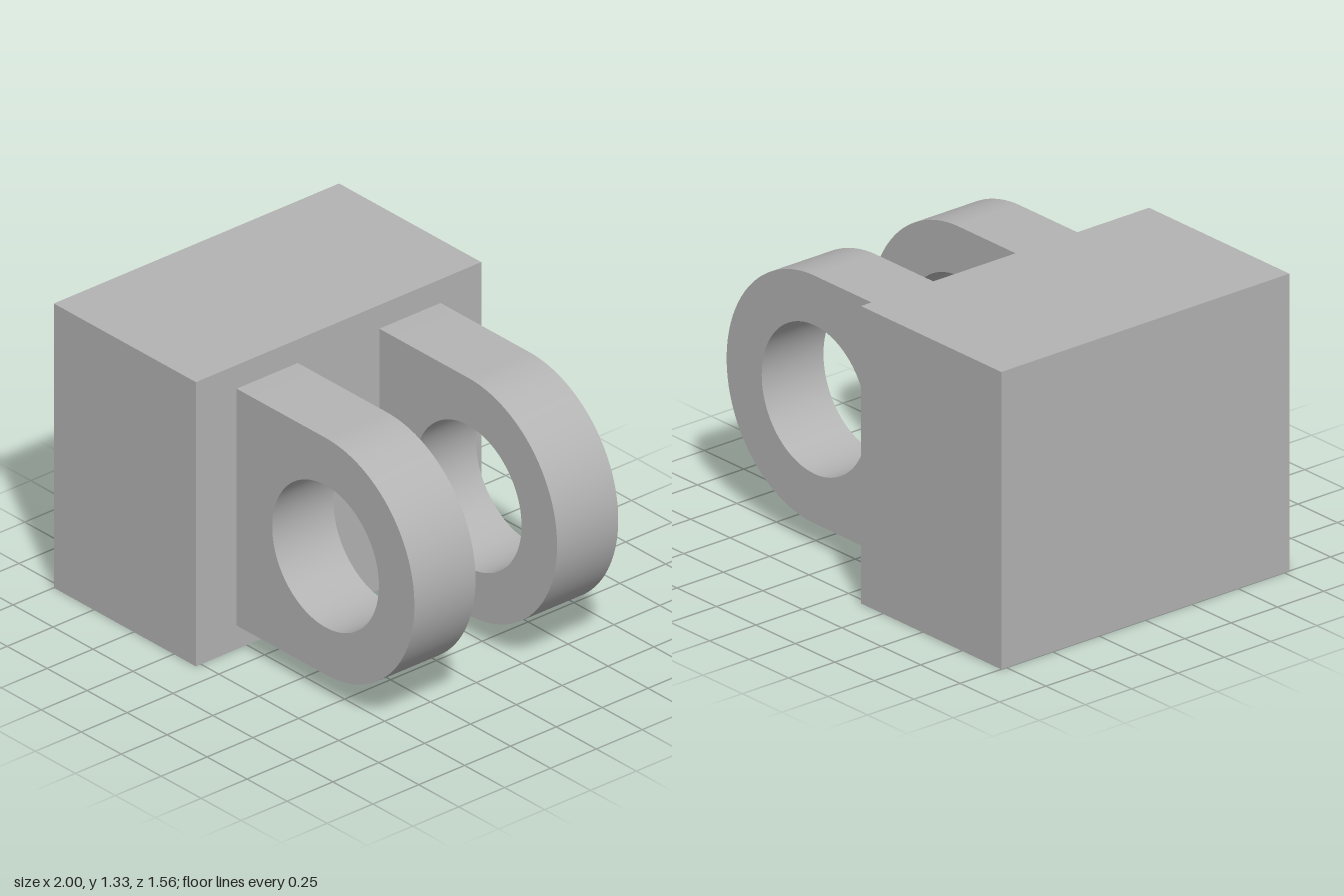
import * as THREE from 'three';
import { toCreasedNormals } from 'three/addons/utils/BufferGeometryUtils.js';

const U = 1 / 9; // all dimensions are multiples of this module

export function createModel() {
  const model = new THREE.Group();
  model.name = 'clevisBracket';
  const grey = new THREE.MeshStandardMaterial({ name: 'plain grey', color: 0xb4b4b4 });

  // Solid mounting block
  const block = new THREE.Mesh(new THREE.BoxGeometry(8 * U, 12 * U, 14 * U), grey);
  block.name = 'mountingBlock';
  block.position.set(-5 * U, 6 * U, 0);
  model.add(block);

  // Lug outline: straight sides, rounded end and a pin hole, centred on the hole
  const outline = new THREE.Shape();
  outline.moveTo(-5 * U, -5 * U);
  outline.lineTo(0, -5 * U);
  outline.absarc(0, 0, 5 * U, -Math.PI / 2, Math.PI / 2, false);
  outline.lineTo(-5 * U, 5 * U);
  outline.closePath();
  const hole = new THREE.Path();
  hole.absarc(0, 0, 3 * U, 0, Math.PI * 2, true);
  outline.holes.push(hole);

  const lugGeometry = toCreasedNormals(
    new THREE.ExtrudeGeometry(outline, { depth: 3 * U, bevelEnabled: false, curveSegments: 48 }),
    0.5
  );

  // Two parallel lugs on the block's side face
  for (const [name, z] of [['frontLug', 2 * U], ['backLug', -5 * U]]) {
    const lug = new THREE.Mesh(lugGeometry, grey);
    lug.name = name;
    lug.position.set(4 * U, 6 * U, z);
    model.add(lug);
  }

  return model;
}
